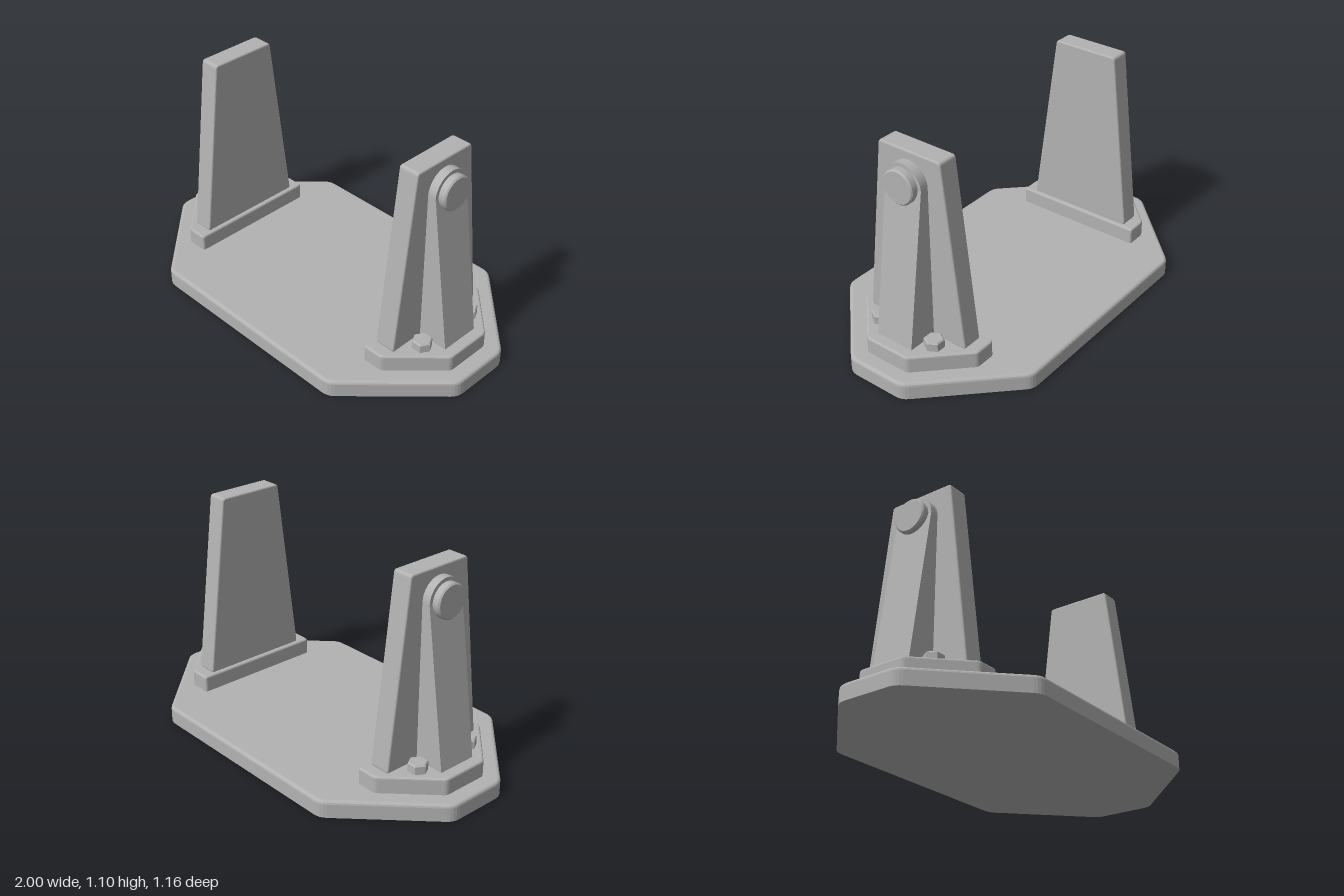
import * as THREE from 'three';
import { toCreasedNormals } from 'three/addons/utils/BufferGeometryUtils.js';

const grey = new THREE.MeshStandardMaterial({ color: 0xb2b2b2 });
grey.name = 'plain grey';

function part(name, geometry, parent) {
  const mesh = new THREE.Mesh(geometry, grey);
  mesh.name = name;
  parent.add(mesh);
  return mesh;
}

// Rounds the corners of a counter-clockwise outline, cutting d off each edge end
function rounded(points, d, steps = 4) {
  const pts = points.map(([x, y]) => new THREE.Vector2(x, y));
  return pts.flatMap((p, i) => {
    const prev = pts[(i + pts.length - 1) % pts.length];
    const next = pts[(i + 1) % pts.length];
    const a = p.clone().add(prev.clone().sub(p).setLength(d));
    const b = p.clone().add(next.clone().sub(p).setLength(d));
    return new THREE.QuadraticBezierCurve(a, p, b).getPoints(steps);
  });
}

// Moves every edge of a convex outline inwards by t
function inset(pts, t) {
  const n = pts.length;
  const normal = (a, b) => new THREE.Vector2(a.y - b.y, b.x - a.x).normalize();
  return pts.map((p, i) => {
    const n1 = normal(pts[(i + n - 1) % n], p);
    const n2 = normal(p, pts[(i + 1) % n]);
    return p.clone().addScaledVector(n1.clone().add(n2), t / (1 + n1.dot(n2)));
  });
}

// Convex slab along +z with a rounded far rim, and a rounded near rim if asked
function slab(outline, depth, bevel, bothRims) {
  const arc = [0, 30, 60, 90].map((deg) => {
    const a = THREE.MathUtils.degToRad(deg);
    return [depth - bevel + bevel * Math.sin(a), bevel * (1 - Math.cos(a))];
  });
  const near = bothRims ? arc.map(([z, t]) => [depth - z, t]).reverse() : [[0, 0]];
  const rings = [...near, ...arc].map(([z, t]) =>
    inset(outline, t).map((p) => new THREE.Vector3(p.x, p.y, z)));
  const tris = [];
  const n = outline.length;
  const last = rings[rings.length - 1];
  for (let r = 0; r < rings.length - 1; r++) {
    const lo = rings[r], hi = rings[r + 1];
    for (let i = 0; i < n; i++) {
      const j = (i + 1) % n;
      tris.push(lo[i], lo[j], hi[j], lo[i], hi[j], hi[i]);
    }
  }
  for (let i = 1; i < n - 1; i++) {
    tris.push(last[0], last[i], last[i + 1], rings[0][0], rings[0][i + 1], rings[0][i]);
  }
  const geometry = new THREE.BufferGeometry().setFromPoints(tris);
  geometry.computeVertexNormals();
  return geometry;
}

// Chamfered round or hexagonal head standing on y = 0
function head(radius, height, chamfer, sides) {
  const profile = [[0, 0], [radius, 0], [radius, height - chamfer], [radius - chamfer, height], [0, height]]
    .map(([x, y]) => new THREE.Vector2(x, y));
  return toCreasedNormals(new THREE.LatheGeometry(profile, sides, Math.PI / 2), 0.5);
}

function createSupport() {
  const support = new THREE.Group();

  // Foot pad with cut outer corners
  const padOutline = rounded([[0.58, -0.35], [0.69, -0.35], [0.92, -0.12],
    [0.92, 0.12], [0.69, 0.35], [0.58, 0.35]], 0.015);
  part('footPad', slab(padOutline, 0.085, 0.01).rotateX(-Math.PI / 2), support).position.y = 0.085;

  // Tapered upright plate
  const plateOutline = rounded([[-0.29, 0.165], [0.29, 0.165], [0.175, 1.1], [-0.175, 1.1]], 0.015);
  part('uprightPlate', slab(plateOutline, 0.107, 0.008, true).rotateY(Math.PI / 2), support).position.x = 0.602;

  // Sloping rib with a round top
  const ribShape = new THREE.Shape([[0.70, 0.165], [0.865, 0.165], [0.752, 0.955], [0.70, 0.955]]
    .map(([x, y]) => new THREE.Vector2(x, y)));
  const rib = new THREE.ExtrudeGeometry(ribShape, { depth: 0.206, bevelEnabled: false });
  part('rib', rib.translate(0, 0, -0.103), support);
  const arch = new THREE.CylinderGeometry(0.103, 0.103, 0.052, 32).rotateZ(-Math.PI / 2);
  part('ribTop', arch, support).position.set(0.726, 0.955, 0);

  // Pivot pin
  part('pivotPin', head(0.085, 0.06, 0.007, 40).rotateZ(-Math.PI / 2), support).position.set(0.73, 0.955, 0);

  // Hexagonal bolt heads
  for (const side of [-1, 1]) {
    part('bolt', head(0.049, 0.048, 0.006, 6), support).position.set(0.774, 0.167, side * 0.162);
  }
  return support;
}

export function createModel() {
  const model = new THREE.Group();
  model.name = 'supportStand';

  // Eight-sided base plate
  const baseOutline = rounded([[1, -0.155], [1, 0.155], [0.575, 0.58], [-0.575, 0.58],
    [-1, 0.155], [-1, -0.155], [-0.575, -0.58], [0.575, -0.58]], 0.035);
  part('basePlate', slab(baseOutline, 0.086, 0.016).rotateX(-Math.PI / 2), model);

  // The two supports face away from each other
  ['leftSupport', 'rightSupport'].forEach((name, i) => {
    const support = createSupport();
    support.name = name;
    support.rotation.y = i * Math.PI;
    model.add(support);
  });
  return model;
}
